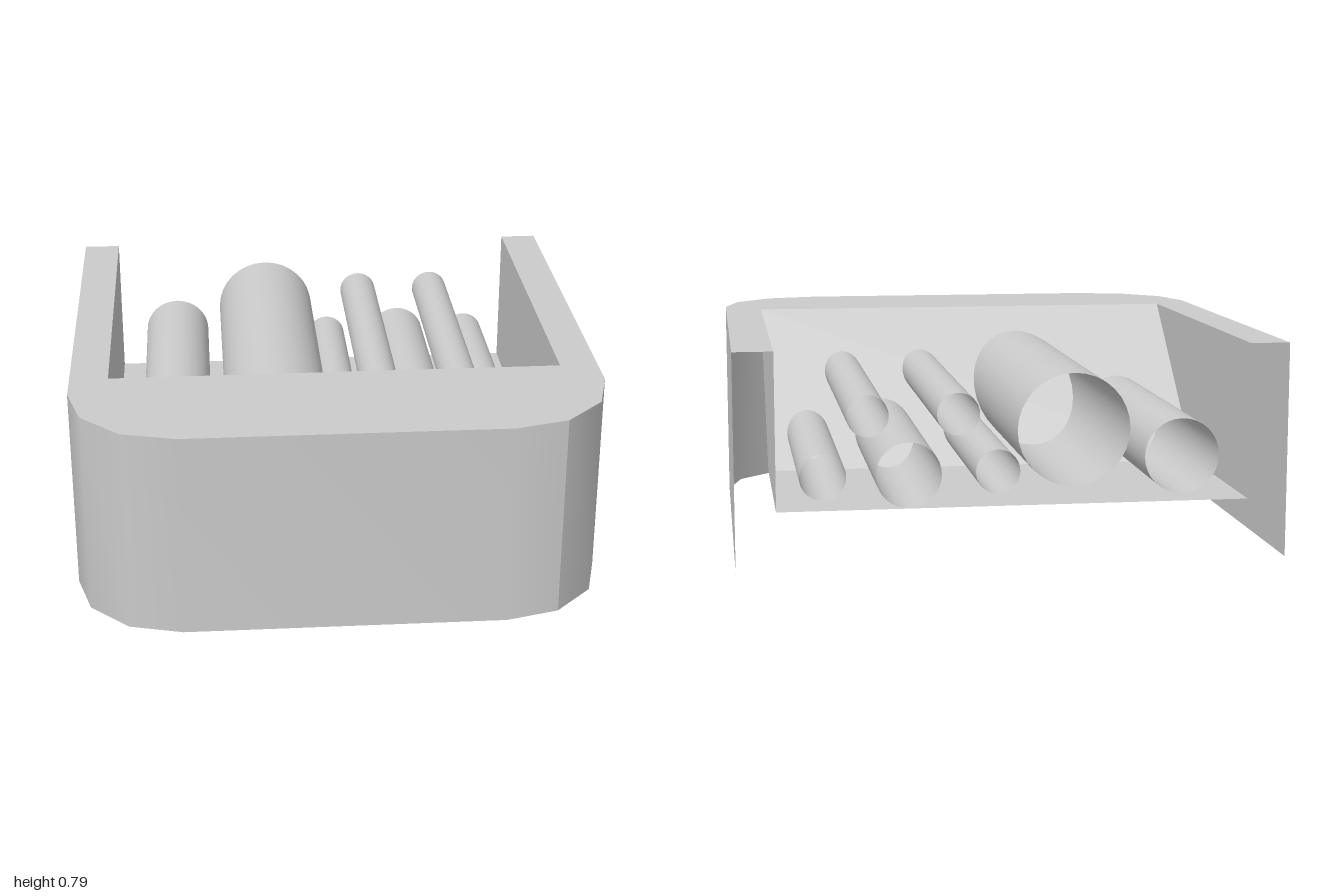
import * as THREE from 'three';

const H = 0.79;                 // overall height
const FLOOR = 0.22;             // recess floor height
const BACK = -0.985, FRONT = 0.985;
const INNER = 0.855;            // half width of the recess
const RAMP_START = -0.2, RAMP_END = 0.45;

const material = new THREE.MeshStandardMaterial({ color: 0xcccccc, side: THREE.DoubleSide });

function add(group, name, geometry) {
  const mesh = new THREE.Mesh(geometry, material);
  mesh.name = name;
  group.add(mesh);
  return mesh;
}

// Sheet between two matching rows of [x, y, z] points
function sheet(lower, upper) {
  const index = [];
  const n = lower.length;
  for (let i = 0; i < n - 1; i++) {
    index.push(i, i + 1, n + i, i + 1, n + i + 1, n + i);
  }
  const geometry = new THREE.BufferGeometry();
  geometry.setAttribute('position', new THREE.Float32BufferAttribute([...lower, ...upper].flat(), 3));
  geometry.setIndex(index);
  geometry.computeVertexNormals();
  return geometry;
}

export function createModel() {
  const model = new THREE.Group();
  model.name = 'housing';

  // Plan outline [x, z]: straight sides with chamfered round front corners
  const R = 0.4;
  const corner = [0, 1, 2, 3].map((i) => {
    const a = (i * Math.PI) / 6;
    return [1 - R + R * Math.cos(a), FRONT - R + R * Math.sin(a)];
  });
  const rightHalf = [[1, BACK], ...corner];
  const leftHalf = rightHalf.map(([x, z]) => [-x, z]);
  const outline = [...leftHalf, ...rightHalf.slice().reverse()];

  // Thin outer skin, smooth within each of three stretches
  const skin = (name, path) => add(model, name,
    sheet(path.map(([x, z]) => [x, 0, z]), path.map(([x, z]) => [x, H, z])));
  skin('rightOuterWall', outline.slice(0, 4));
  skin('frontOuterWall', outline.slice(3, 7));
  skin('leftOuterWall', outline.slice(6));

  // U-shaped top rim around the recess
  const rimPoints = [...outline, [INNER, BACK], [INNER, RAMP_END], [-INNER, RAMP_END], [-INNER, BACK]];
  const rimShape = new THREE.Shape(rimPoints.map(([x, z]) => new THREE.Vector2(x, -z)));
  const rim = add(model, 'topRim', new THREE.ShapeGeometry(rimShape).rotateX(-Math.PI / 2));
  rim.position.y = H;

  // Recess: side walls, floor and sloping front
  for (const side of [-1, 1]) {
    const x = side * INNER;
    const lower = [[x, FLOOR, BACK], [x, FLOOR, RAMP_START], [x, H, RAMP_END]];
    const upper = lower.map(([px, , z]) => [px, H, z]);
    if (side < 0) { lower.reverse(); upper.reverse(); }
    add(model, side < 0 ? 'rightInnerWall' : 'leftInnerWall', sheet(lower, upper));
  }
  const across = (y, z) => [[-INNER, y, z], [INNER, y, z]];
  add(model, 'recessFloor', sheet(across(FLOOR, RAMP_START), across(FLOOR, BACK)));
  add(model, 'recessRamp', sheet(across(H, RAMP_END), across(FLOOR, RAMP_START)));

  // Open pipes running from the back through the ramp: x, y, radius, front end z
  const pipes = new THREE.Group();
  pipes.name = 'pipes';
  model.add(pipes);
  [
    [-0.607, 0.385, 0.137, 0.18],
    [-0.21, 0.49, 0.205, 0.42],
    [0.065, 0.345, 0.08, 0.18],
    [0.207, 0.555, 0.077, 0.32],
    [0.385, 0.34, 0.118, 0.18],
    [0.53, 0.555, 0.075, 0.32],
    [0.69, 0.34, 0.083, 0.18],
  ].forEach(([x, y, r, end], i) => {
    const length = end - BACK;
    const tube = new THREE.CylinderGeometry(r, r, length, 32, 1, true).rotateX(Math.PI / 2);
    add(pipes, `pipe${i + 1}`, tube).position.set(x, y, BACK + length / 2);
  });

  return model;
}
